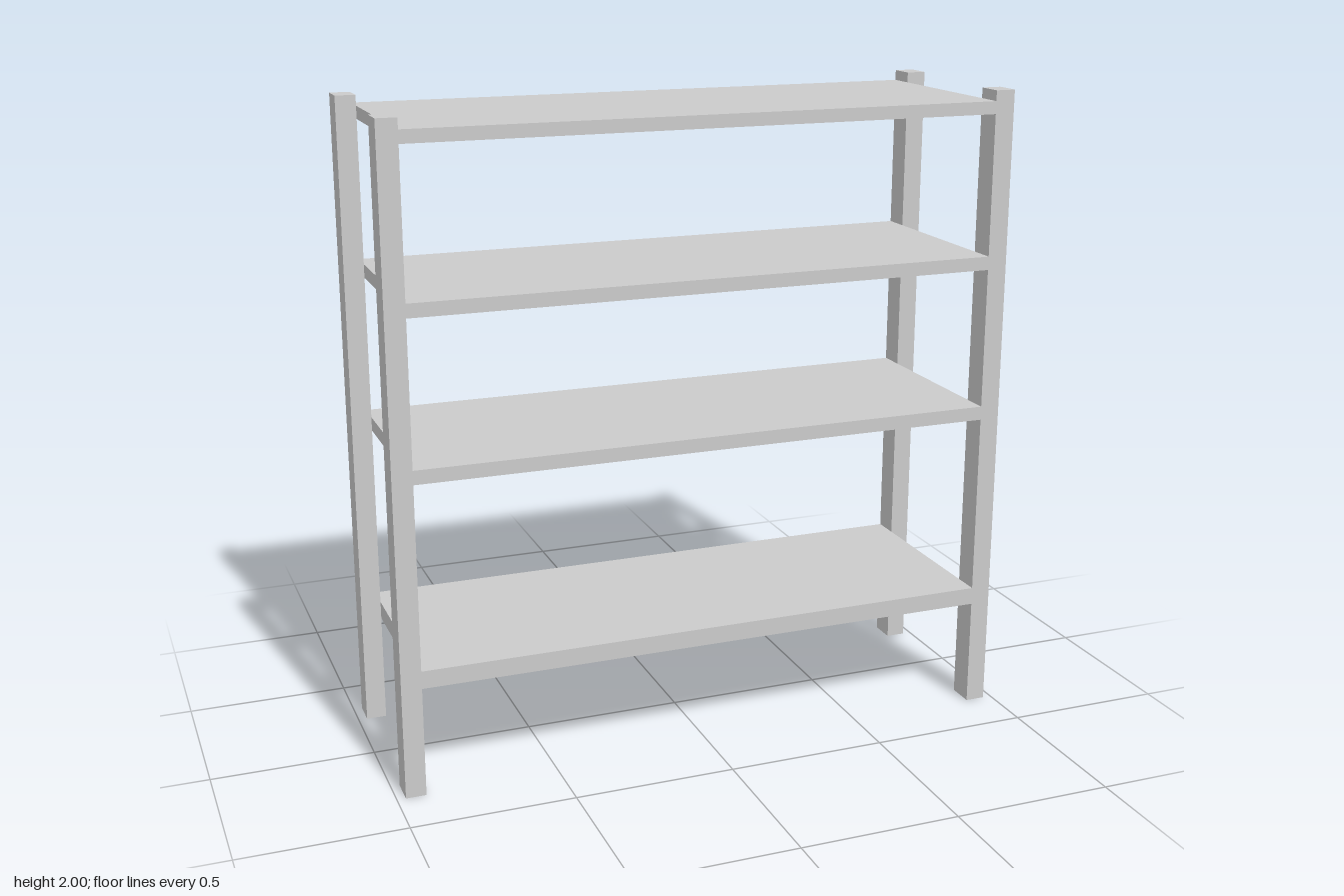
import * as THREE from 'three';

export function createModel() {
  const model = new THREE.Group();
  const material = new THREE.MeshStandardMaterial({ color: 0xcccccc, flatShading: true });

  const outerX = 0.973, innerX = 0.911; // post faces across the width
  const outerZ = 0.326, innerZ = 0.241; // post faces across the depth

  // Box given by its lower and upper corners
  function addBox(name, min, max) {
    const size = max.map((v, i) => v - min[i]);
    const mesh = new THREE.Mesh(new THREE.BoxGeometry(...size), material);
    mesh.name = name;
    mesh.position.set(...max.map((v, i) => (v + min[i]) / 2));
    model.add(mesh);
  }

  // Four corner posts
  for (const [side, sx] of [['Left', 1], ['Right', -1]]) {
    for (const [end, sz] of [['front', 1], ['back', -1]]) {
      const x = [sx * innerX, sx * outerX].sort((a, b) => a - b);
      const z = [sz * innerZ, sz * outerZ].sort((a, b) => a - b);
      addBox(`${end}${side}Post`, [x[0], 0, z[0]], [x[1], 2, z[1]]);
    }
  }

  // Shelves between the posts: bottom and top heights
  const shelves = [[0.343, 0.398], [0.969, 1.012], [1.451, 1.493], [1.929, 1.968]];
  shelves.forEach(([bottom, top], i) => {
    addBox(`shelf${i + 1}`, [-innerX, bottom, -outerZ], [innerX, top, outerZ]);
  });

  return model;
}
